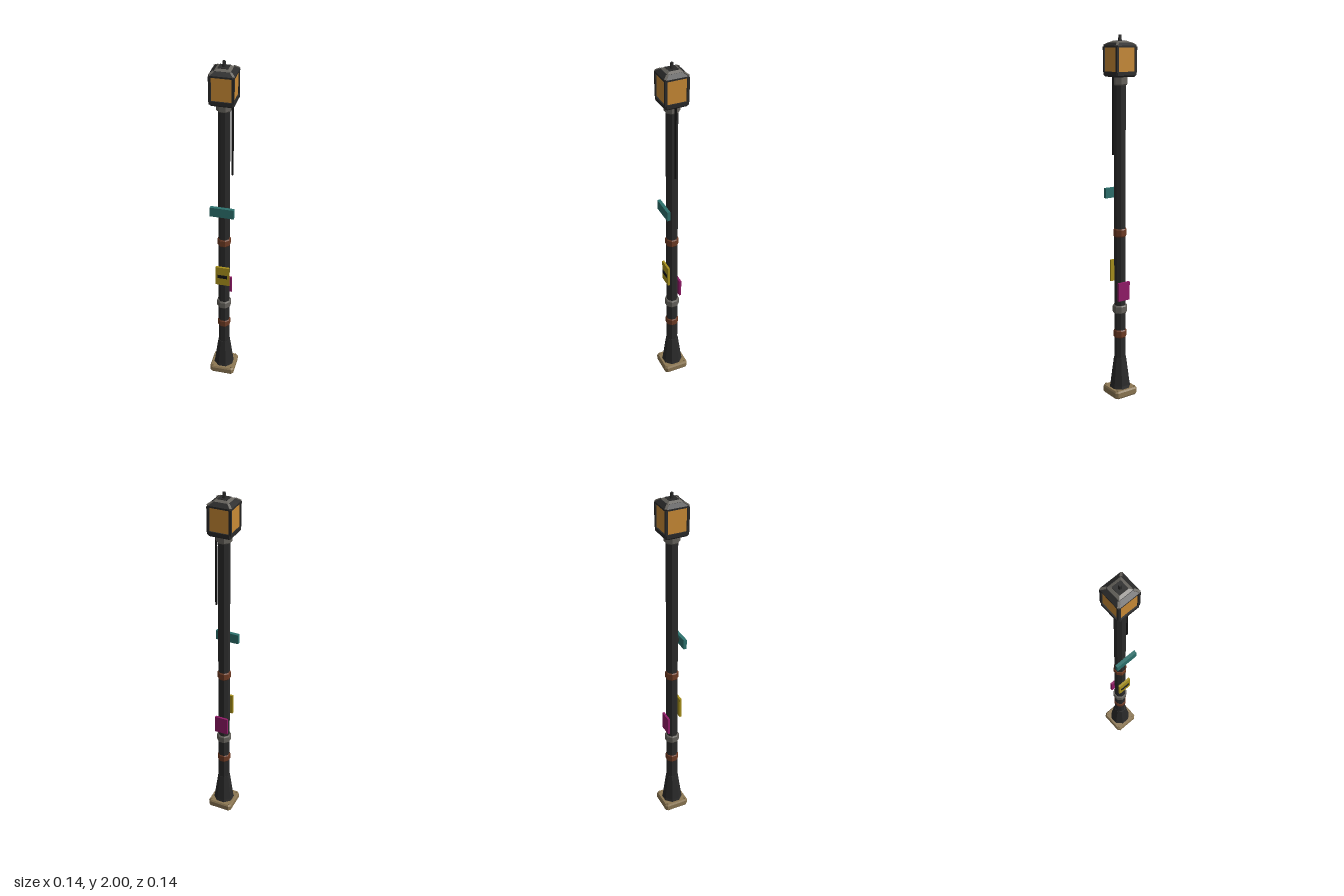
import * as THREE from 'three';

const COLORS = {
  iron: 0x2a2a2a, steel: 0x66635d, rust: 0x6e3b24, stone: 0x8c7753, amber: 0xc98a35,
  teal: 0x2c716d, yellow: 0xa8911c, magenta: 0x921a68, black: 0x121212,
};
const mats = {};
for (const [name, color] of Object.entries(COLORS)) {
  mats[name] = new THREE.MeshStandardMaterial({ color, flatShading: true });
}

// Square ring of half width h with corners cut by c
const ring = ([y, h, c]) => {
  const i = h - c;
  return [[h, -i], [h, i], [i, h], [-i, h], [-h, i], [-h, -i], [-i, -h], [i, -h]]
    .map(([x, z]) => new THREE.Vector3(x, y, z));
};

// Closed solid through sections [y, halfWidth, cornerCut], bottom to top
function loft(sections) {
  const rings = sections.map(ring), pts = [];
  for (let s = 0; s < rings.length - 1; s++) {
    for (let k = 0; k < 8; k++) {
      const n = (k + 1) % 8, [a, b] = [rings[s], rings[s + 1]];
      pts.push(a[k], b[k], b[n], a[k], b[n], a[n]);
    }
  }
  const lo = rings[0], hi = rings[rings.length - 1];
  for (let k = 1; k < 7; k++) pts.push(lo[0], lo[k], lo[k + 1], hi[0], hi[k + 1], hi[k]);
  const g = new THREE.BufferGeometry().setFromPoints(pts);
  g.computeVertexNormals();
  return g;
}

// Regular octagon section
const oct = (y, h) => [y, h, h * 0.586];

export function createModel() {
  const model = new THREE.Group();
  const add = (name, geo, mat, x = 0, y = 0, z = 0, parent = model) => {
    const m = new THREE.Mesh(geo, mats[mat]);
    m.name = name;
    m.position.set(x, y, z);
    parent.add(m);
    return m;
  };
  const box = (name, w, h, d, mat, x, y, z, parent) =>
    add(name, new THREE.BoxGeometry(w, h, d), mat, x, y, z, parent);

  // Base, flared foot and post
  add('basePlate', loft([[0, 0.068, 0.011], [0.008, 0.0725, 0.012],
    [0.035, 0.0725, 0.012], [0.044, 0.067, 0.011]]), 'stone');
  for (const x of [-1, 1]) for (const z of [-1, 1]) {
    add('baseBolt', new THREE.CylinderGeometry(0.006, 0.006, 0.012, 6), 'stone', x * 0.057, 0.045, z * 0.057);
  }
  add('foot', loft([oct(0.042, 0.056), oct(0.06, 0.052), oct(0.225, 0.032)]), 'iron');
  add('post', loft([oct(0.2, 0.03), oct(1.77, 0.029)]), 'iron');

  // Collars and rusty bands
  const collar = (name, y, height, h, mat) => add(name, loft([
    oct(y - height / 2, h - 0.004), oct(y - height / 2 + 0.006, h),
    oct(y + height / 2 - 0.006, h), oct(y + height / 2, h - 0.004)]), mat);
  collar('lowerCollar', 0.513, 0.046, 0.038, 'steel');
  collar('topCollar', 1.77, 0.05, 0.038, 'steel');
  for (const y of [0.367, 0.952]) collar('rustBand', y, 0.046, 0.034, 'rust');

  // Lantern
  const lantern = new THREE.Group();
  lantern.name = 'lantern';
  model.add(lantern);
  add('lanternFloor', loft([[1.788, 0.058, 0.008], [1.796, 0.065, 0.009],
    [1.815, 0.065, 0.009]]), 'iron', 0, 0, 0, lantern);
  box('lanternGlass', 0.116, 0.13, 0.116, 'amber', 0, 1.876, 0, lantern);
  for (const x of [-1, 1]) for (const z of [-1, 1]) {
    box('cornerPost', 0.013, 0.13, 0.013, 'iron', x * 0.0575, 1.876, z * 0.0575, lantern);
  }
  add('lanternRoof', loft([[1.937, 0.065, 0.009], [1.946, 0.065, 0.009],
    [1.962, 0.043, 0.001]]), 'iron', 0, 0, 0, lantern);
  add('roofCap', loft([[1.961, 0.043, 0.001], [1.97, 0.027, 0.001]]), 'steel', 0, 0, 0, lantern);
  box('roofTop', 0.052, 0.004, 0.052, 'iron', 0, 1.97, 0, lantern);
  add('finial', new THREE.CylinderGeometry(0.008, 0.01, 0.032, 8), 'iron', 0, 1.984, 0, lantern);

  // Ribs along the roof corners
  for (let k = 0; k < 4; k++) {
    const a = Math.PI / 4 + k * Math.PI / 2;
    const at = (r, y) => new THREE.Vector3(Math.cos(a) * r * Math.SQRT2, y, Math.sin(a) * r * Math.SQRT2);
    const p = at(0.061, 1.947), q = at(0.042, 1.961);
    const rib = box('roofRib', 0.012, 0.005, p.distanceTo(q), 'steel', 0, 0, 0, lantern);
    rib.position.copy(p).add(q).multiplyScalar(0.5);
    rib.lookAt(p);
  }

  // Hanging cable beside the post
  add('cable', new THREE.CylinderGeometry(0.006, 0.006, 0.42, 6), 'black', 0.044, 1.59, 0);

  // Street sign and posters with their mounts
  box('streetSign', 0.13, 0.055, 0.018, 'teal', 0, 1.168, 0.047);
  box('signMount', 0.02, 0.02, 0.014, 'iron', 0, 1.168, 0.034);
  box('frontPoster', 0.078, 0.122, 0.012, 'yellow', 0, 0.731, 0.036);
  box('posterStrip', 0.054, 0.02, 0.005, 'black', 0, 0.73, 0.0435);
  box('backPoster', 0.074, 0.104, 0.012, 'magenta', 0, 0.621, -0.036);

  return model;
}
